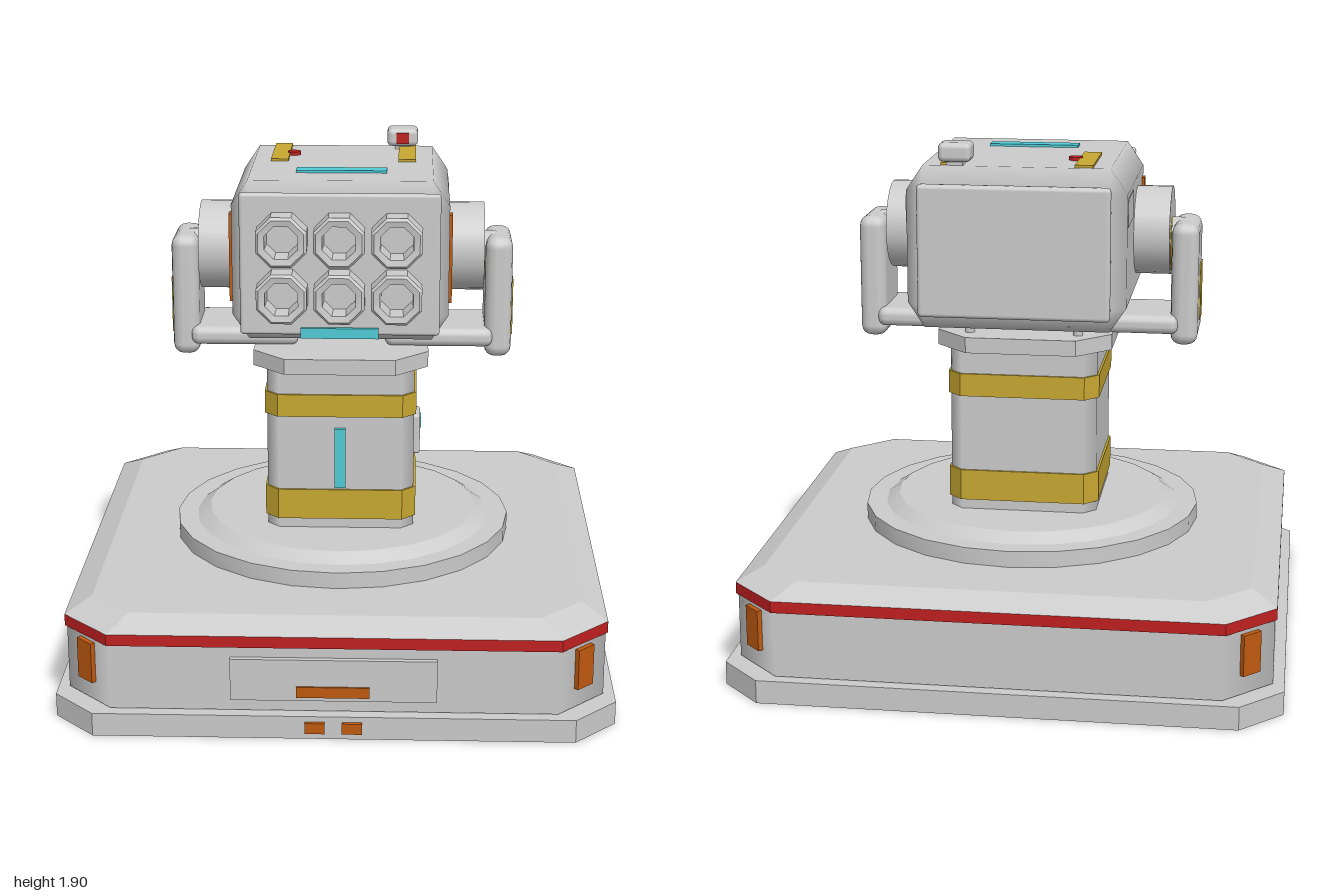
import * as THREE from 'three';
import { ConvexGeometry } from 'three/addons/geometries/ConvexGeometry.js';
import { RoundedBoxGeometry } from 'three/addons/geometries/RoundedBoxGeometry.js';
import { toCreasedNormals } from 'three/addons/utils/BufferGeometryUtils.js';

const mat = (color) => new THREE.MeshStandardMaterial({ color });
const GREY = mat(0xcccccc), YELLOW = mat(0xc8a832), ORANGE = mat(0xc05a10);
const RED = mat(0xc02020), CYAN = mat(0x50ccd8);
const SHELL = new THREE.MeshStandardMaterial({ color: 0xcccccc, side: THREE.DoubleSide });

// Shade cut edges as rounded: each corner takes the normal of the flat side it lies on
function softenEdges(geometry, half) {
  const { position, normal } = geometry.attributes;
  for (let i = 0; i < position.count; i++) {
    const n = [normal.getX(i), normal.getY(i), normal.getZ(i)];
    if (Math.max(...n.map(Math.abs)) > 0.99) continue;
    const p = [position.getX(i), position.getY(i), position.getZ(i)];
    const reach = p.map((v, k) => Math.abs(v) / half[k]);
    const axis = reach.indexOf(Math.max(...reach));
    normal.setXYZ(i, ...p.map((v, k) => (k === axis ? Math.sign(v) : 0)));
  }
  return geometry;
}

// Leave out the faces that look straight down
function openBottom(geometry) {
  const { position, normal } = geometry.attributes;
  const points = [];
  for (let i = 0; i < position.count; i++)
    if (normal.getY(i) > -0.9) points.push(new THREE.Vector3().fromBufferAttribute(position, i));
  const shell = new THREE.BufferGeometry().setFromPoints(points);
  shell.computeVertexNormals();
  return shell;
}

export function createModel() {
  const model = new THREE.Group();
  model.name = 'turret';

  const add = (name, geometry, material = GREY, x = 0, y = 0, z = 0) => {
    const mesh = new THREE.Mesh(geometry, material);
    mesh.name = name;
    mesh.position.set(x, y, z);
    model.add(mesh);
    return mesh;
  };

  // Box given by its extents on each axis, optionally with rounded edges
  const box = (name, [x0, x1], [y0, y1], [z0, z1], material, radius = 0) => {
    const size = [x1 - x0, y1 - y0, z1 - z0];
    const geometry = radius ? new RoundedBoxGeometry(...size, 2, radius) : new THREE.BoxGeometry(...size);
    return add(name, geometry, material, (x0 + x1) / 2, (y0 + y1) / 2, (z0 + z1) / 2);
  };

  // Square block with cut corners, from levels of [y, half width, corner cut]
  const block = (name, levels, material, finish = (geometry) => geometry) => {
    const points = [];
    for (const [y, h, c] of levels)
      for (const sx of [-1, 1])
        for (const sz of [-1, 1])
          points.push(new THREE.Vector3(sx * h, y, sz * (h - c)), new THREE.Vector3(sx * (h - c), y, sz * h));
    return add(name, finish(new ConvexGeometry(points)), material, 0, 0, -0.007);
  };
  const soft = (geometry) => softenEdges(geometry, [1, Infinity, 1]);

  // Disc facing sideways
  const disc = (name, radius, x0, x1, y, z, material) => {
    const geometry = new THREE.CylinderGeometry(radius, radius, Math.abs(x1 - x0), 24).rotateZ(Math.PI / 2);
    return add(name, geometry, material, (x0 + x1) / 2, y, z);
  };

  // Base, hollow underneath
  block('plinth', [[0, 0.993, 0.15], [0.085, 0.993, 0.15]], SHELL, openBottom);
  block('baseBody', [[0.088, 0.953, 0.17], [0.33, 0.953, 0.17]], GREY, soft);
  block('baseTrim', [[0.328, 0.96, 0.17], [0.37, 0.96, 0.17]], RED);
  block('baseTop', [[0.37, 0.96, 0.17], [0.415, 0.87, 0.15]]);
  box('basePanel', [-0.36, 0.36], [0.135, 0.29], [0.94, 0.966]);
  box('basePanelLight', [-0.13, 0.125], [0.15, 0.19], [0.955, 0.973], ORANGE);
  for (const s of [-1, 1]) {
    box('plinthLight', [s * 0.065 - 0.035, s * 0.065 + 0.035], [0.025, 0.065], [0.97, 1], ORANGE);
    for (const t of [-1, 1]) {
      const light = add('cornerLight', new THREE.BoxGeometry(0.08, 0.15, 0.024), ORANGE, s * 0.872, 0.235, t * 0.872 - 0.007);
      light.rotation.y = s * t * Math.PI / 4;
    }
  }

  // Round bearing between base and column
  const bearing = [[0, 0.41], [0.635, 0.41], [0.635, 0.475], [0.56, 0.475], [0.51, 0.508], [0, 0.508]];
  add('bearing', toCreasedNormals(new THREE.LatheGeometry(bearing.map((p) => new THREE.Vector2(...p)), 24), 0.5), GREY, 0, 0, -0.005);

  // Column
  block('column', [[0.5, 0.272, 0.045], [1.13, 0.272, 0.045]], GREY, soft);
  block('lowerBand', [[0.545, 0.28, 0.05], [0.66, 0.28, 0.05]], YELLOW);
  block('upperBand', [[0.945, 0.28, 0.05], [1.03, 0.28, 0.05]], YELLOW);
  block('columnFlange', [[1.12, 0.322, 0.12], [1.178, 0.322, 0.12]]);
  box('columnLight', [-0.02, 0.02], [0.67, 0.9], [0.255, 0.281], CYAN);
  box('controlBox', [0.26, 0.295], [0.755, 0.908], [0.012, 0.13], GREY, 0.01);
  box('controlScreen', [0.28, 0.299], [0.85, 0.89], [0.04, 0.1], CYAN);

  // Head: box with every edge cut and softly shaded
  const half = [0.393, 0.293, 0.392], cut = [0.06, 0.09, 0.06];
  const corners = [];
  for (let axis = 0; axis < 3; axis++)
    for (let k = 0; k < 8; k++) {
      const p = [0, 1, 2].map((i) => ((k >> i) & 1 ? 1 : -1) * (half[i] - (i === axis ? 0 : cut[i])));
      corners.push(new THREE.Vector3(...p));
    }
  add('head', softenEdges(new ConvexGeometry(corners), half), GREY, 0, 1.53, -0.092);
  box('frontPlate', [-0.36, 0.36], [1.27, 1.79], [0.285, 0.315], GREY, 0.012);
  box('backPlate', [-0.342, 0.342], [1.293, 1.768], [-0.52, -0.478], GREY, 0.015);
  box('frontLight', [-0.14, 0.14], [1.262, 1.3], [0.305, 0.33], CYAN);
  box('topLight', [-0.165, 0.165], [1.81, 1.832], [0.045, 0.105], CYAN);
  add('topButton', new THREE.CylinderGeometry(0.025, 0.025, 0.025, 16), RED, -0.19, 1.823, -0.24);

  // Sensor on the roof
  box('sensor', [0.16, 0.278], [1.835, 1.903], [-0.44, -0.335], GREY, 0.02);
  box('sensorFoot', [0.19, 0.25], [1.81, 1.85], [-0.42, -0.36]);
  box('sensorEye', [0.195, 0.243], [1.848, 1.888], [-0.35, -0.33], RED);

  // Six octagonal launch tubes, each a barrel wall with a chamfered mouth
  const barrel = [[0.07, 0], [0.098, 0], [0.098, 0.09], [0.088, 0.1], [0.064, 0.095], [0.06, 0]];
  const tube = new THREE.LatheGeometry(barrel.map((p) => new THREE.Vector2(...p)), 8, Math.PI / 8);
  const launchTube = toCreasedNormals(tube.rotateX(Math.PI / 2), 0.3);
  for (const x of [-0.205, 0, 0.205])
    for (const y of [1.425, 1.632]) add('launchTube', launchTube, GREY, x, y, 0.308);

  // Parts mirrored on both sides
  for (const s of [-1, 1]) {
    const side = (a, b) => (s > 0 ? [a, b] : [-b, -a]);
    box('roofStripe', side(0.205, 0.27), [1.81, 1.832], [-0.415, -0.105], YELLOW);
    box('sideLight', side(0.38, 0.404), [1.37, 1.695], [0.175, 0.22], ORANGE);
    box('sidePlate', side(0.38, 0.396), [1.615, 1.715], [-0.42, -0.21]);
    disc('pivotDrum', 0.163, s * 0.38, s * 0.523, 1.532, 0);
    disc('pivotRing', 0.1, s * 0.51, s * 0.527, 1.485, -0.02, YELLOW);
    disc('pivotHub', 0.07, s * 0.51, s * 0.57, 1.515, -0.02);
    box('arm', side(0.53, 0.63), [1.127, 1.582], [-0.16, 0.108], GREY, 0.04);
    box('armPanel', side(0.61, 0.635), [1.205, 1.415], [-0.05, 0.05], YELLOW);
    box('lowerBar', side(0.16, 0.56), [1.172, 1.243], [-0.18, 0.13], GREY, 0.03);
    add('neckPost', new THREE.CylinderGeometry(0.018, 0.018, 0.09, 12), GREY, s * 0.2, 1.21, -0.235);
  }
  return model;
}
